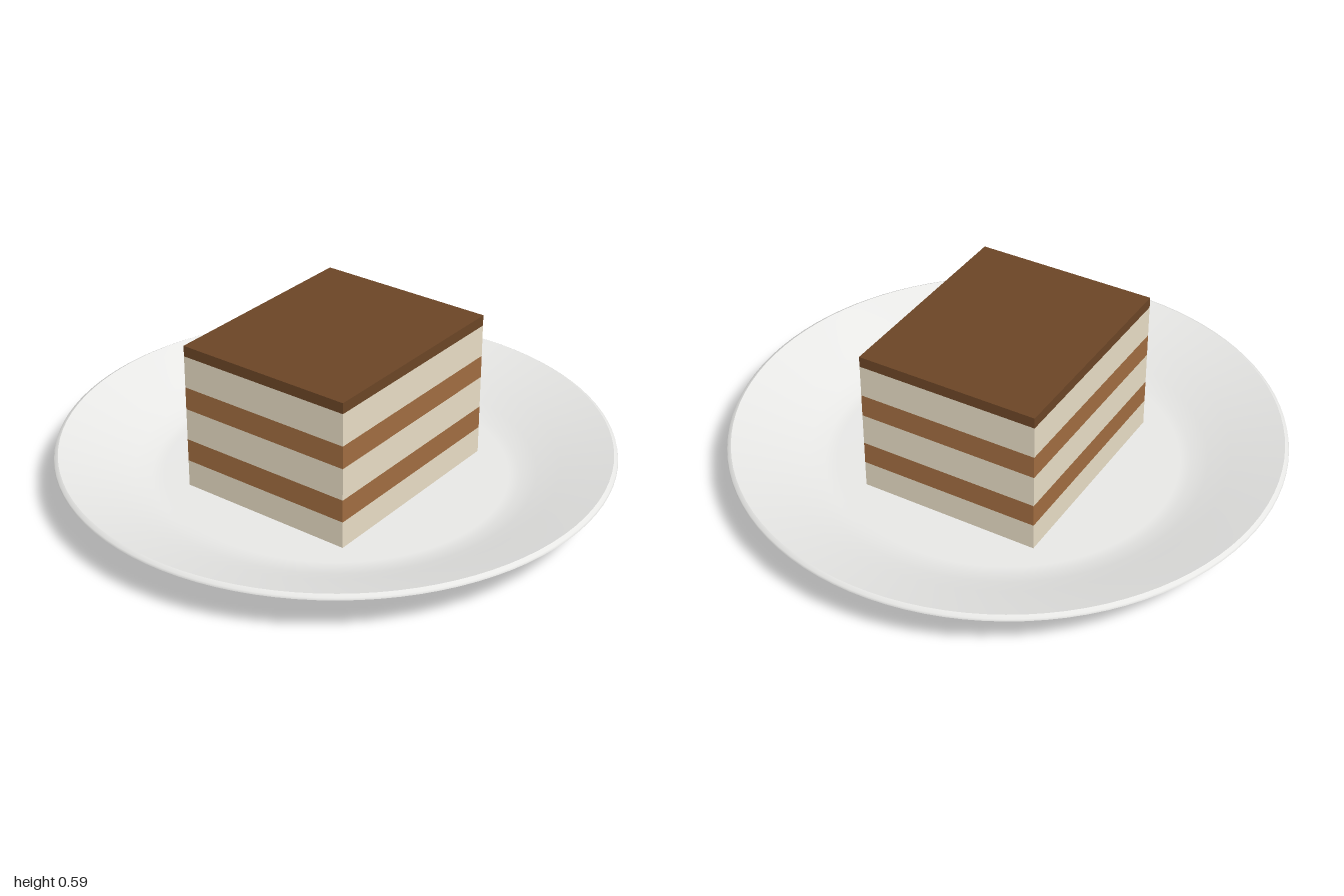
import * as THREE from 'three';

const mat = (name, color) => {
  const m = new THREE.MeshStandardMaterial({ color });
  m.name = name;
  return m;
};

export function createModel() {
  const porcelain = mat('porcelain white', 0xececea);
  const cream = mat('cream', 0xf5e9d0);
  const sponge = mat('sponge brown', 0xa06c40);
  const cocoa = mat('cocoa brown', 0x6b4526);

  const model = new THREE.Group();
  model.name = 'layeredCakeOnPlate';

  // Plate: separate lathes keep the rim edges sharp and the rest smooth
  const plate = new THREE.Group();
  plate.name = 'plate';
  const lathe = (name, points) => {
    const geo = new THREE.LatheGeometry(points.map(([x, y]) => new THREE.Vector2(x, y)), 96);
    const mesh = new THREE.Mesh(geo, porcelain);
    mesh.name = name;
    plate.add(mesh);
  };
  lathe('plateUnderside', [[0, 0], [0.58, 0], [0.62, 0.003], [0.7, 0.035], [0.8, 0.075], [0.9, 0.113], [1, 0.15]]);
  lathe('plateRim', [[1, 0.15], [0.998, 0.158], [0.985, 0.165]]);
  lathe('plateTop', [[0.985, 0.165], [0.9, 0.133], [0.8, 0.094], [0.72, 0.062], [0.66, 0.043], [0.62, 0.04], [0, 0.04]]);
  model.add(plate);

  // Cake: alternating layers stacked from the plate floor up
  const cake = new THREE.Group();
  cake.name = 'cake';
  const layers = [
    ['bottomCream', cream, 0.04, 0.14],
    ['lowerSponge', sponge, 0.14, 0.225],
    ['middleCream', cream, 0.225, 0.345],
    ['upperSponge', sponge, 0.345, 0.43],
    ['topCream', cream, 0.43, 0.55],
    ['cocoaTopping', cocoa, 0.55, 0.59],
  ];
  for (const [name, material, y0, y1] of layers) {
    const layer = new THREE.Mesh(new THREE.BoxGeometry(0.82, y1 - y0, 0.68), material);
    layer.position.y = (y0 + y1) / 2;
    layer.name = name;
    cake.add(layer);
  }
  model.add(cake);

  return model;
}
